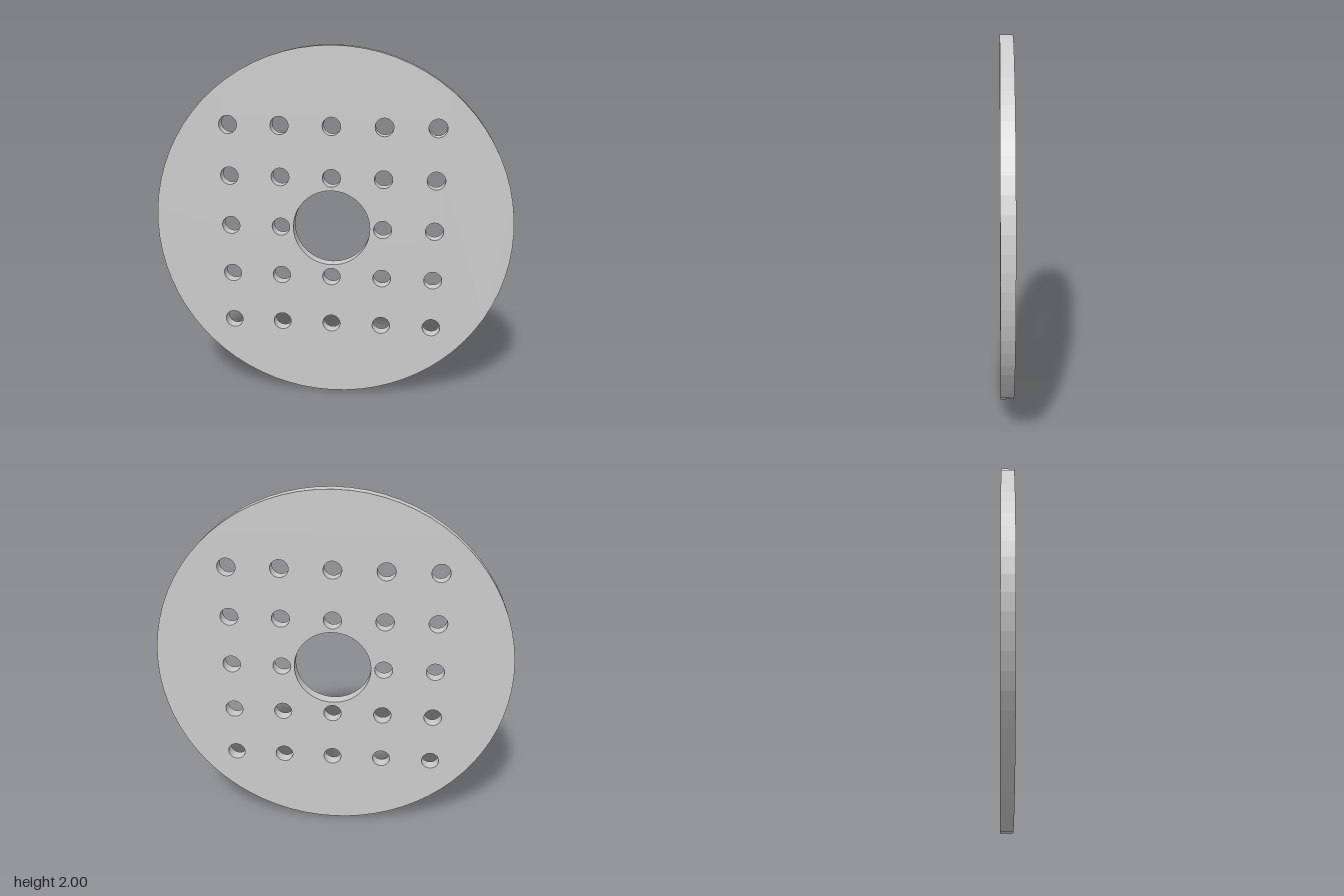
import * as THREE from 'three';

const RADIUS = 1, BORE = 0.215, HOLE = 0.05, PITCH = 0.286, THICKNESS = 0.07;

// Corner points of a regular polygon standing in for a circle
function circlePoints(x, y, radius, sides) {
  return Array.from({ length: sides }, (_, i) => {
    const a = (i / sides) * Math.PI * 2;
    return new THREE.Vector2(x + radius * Math.cos(a), y + radius * Math.sin(a));
  });
}

export function createModel() {
  const model = new THREE.Group();
  model.name = 'perforatedDisc';

  // Round plate outline with a large central bore
  const outline = new THREE.Shape(circlePoints(0, 0, RADIUS, 72));
  outline.holes.push(new THREE.Path(circlePoints(0, 0, BORE, 48)));

  // Square 5 x 5 grid of small holes around the bore
  for (let row = -2; row <= 2; row++) {
    for (let col = -2; col <= 2; col++) {
      if (row === 0 && col === 0) continue;
      outline.holes.push(new THREE.Path(circlePoints(col * PITCH, row * PITCH, HOLE, 32)));
    }
  }

  const geometry = new THREE.ExtrudeGeometry(outline, { depth: THICKNESS, bevelEnabled: false });
  geometry.translate(0, RADIUS, -THICKNESS / 2);

  const plate = new THREE.Mesh(
    geometry,
    new THREE.MeshStandardMaterial({ color: 0xcccccc, flatShading: true })
  );
  plate.name = 'plate';
  model.add(plate);
  return model;
}
